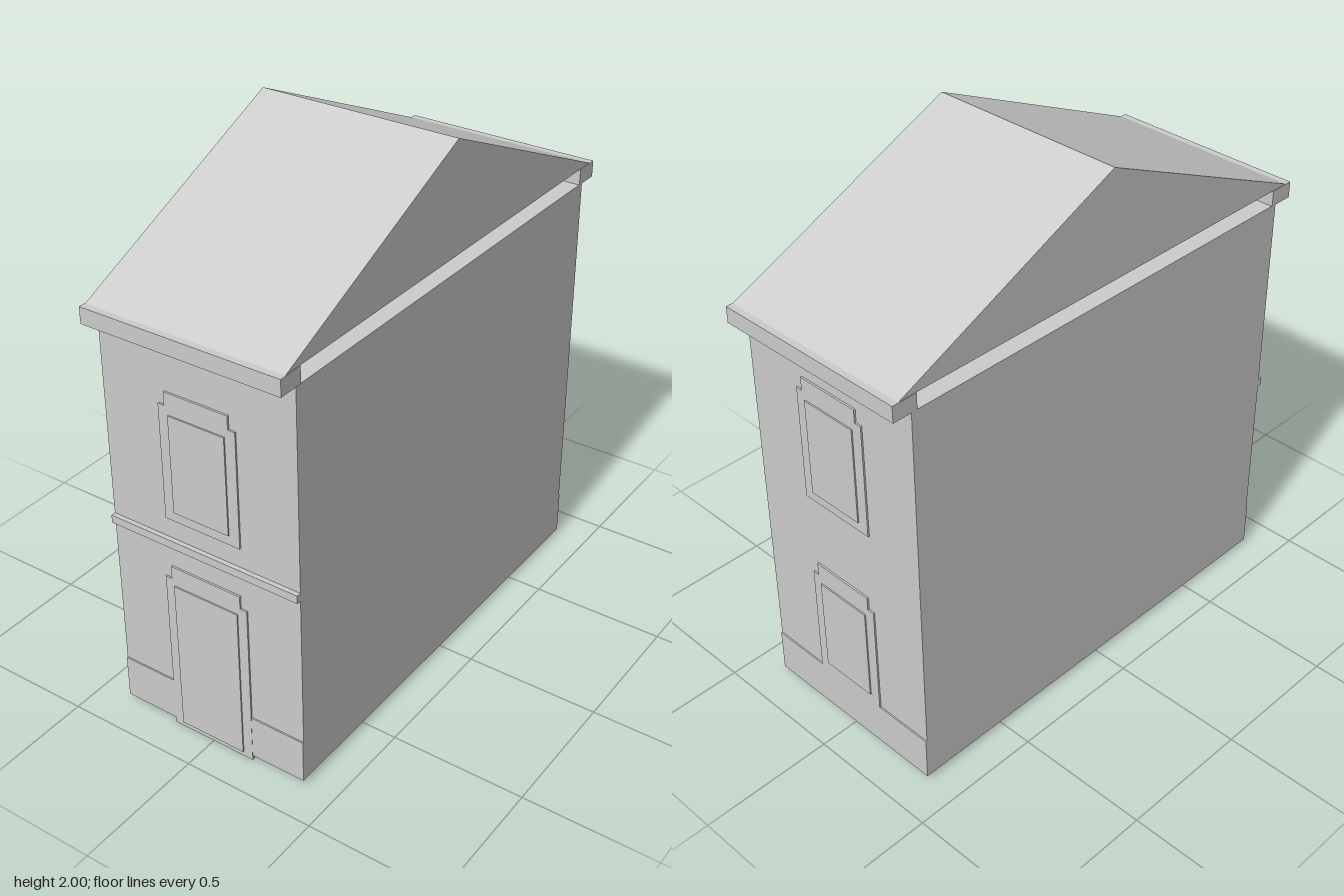
import * as THREE from 'three';

const paint = new THREE.MeshStandardMaterial({ color: 0xcccccc });
paint.name = 'pale grey';

const HALF_W = 0.378, WALL_Z = 0.857, EAVE_Y = 1.535, ROOF_Y = 1.595;

// Box given by its limits on each axis
function block(parent, name, [x0, x1], [y0, y1], [z0, z1]) {
  const mesh = new THREE.Mesh(new THREE.BoxGeometry(x1 - x0, y1 - y0, z1 - z0), paint);
  mesh.name = name;
  mesh.position.set((x0 + x1) / 2, (y0 + y1) / 2, (z0 + z1) / 2);
  parent.add(mesh);
}

// Opening with a raised surround, a narrower lintel and a raised panel
function opening(parent, name, half, panelHalf, y0, top, panelY0, panelY1) {
  const g = new THREE.Group();
  g.name = name;
  const back = WALL_Z - 0.005, step = top - 0.05, lintelHalf = half - 0.026;
  block(g, 'surround', [-half, half], [y0, step], [back, WALL_Z + 0.006]);
  block(g, 'lintel', [-lintelHalf, lintelHalf], [step, top], [back, WALL_Z + 0.007]);
  block(g, 'panel', [-panelHalf, panelHalf], [panelY0, panelY1], [back, WALL_Z + 0.011]);
  parent.add(g);
}

const sashWindow = (parent, name, y0) =>
  opening(parent, name, 0.15, 0.11, y0, y0 + 0.48, y0 + 0.037, y0 + 0.4);

export function createModel() {
  const house = new THREE.Group();
  house.name = 'terracedHouse';

  block(house, 'walls', [-HALF_W, HALF_W], [0.02, EAVE_Y], [-WALL_Z, WALL_Z]);

  // Gabled roof, ridge running along x
  const gable = new THREE.Shape();
  gable.moveTo(-0.905, ROOF_Y);
  gable.lineTo(0.905, ROOF_Y);
  gable.lineTo(0, 2);
  const roofGeometry = new THREE.ExtrudeGeometry(gable, { depth: 2 * HALF_W, bevelEnabled: false });
  roofGeometry.translate(0, 0, -HALF_W).rotateY(Math.PI / 2);
  const roof = new THREE.Mesh(roofGeometry, paint);
  roof.name = 'roof';
  house.add(roof);

  // Front and rear faces share the eaves; the rear is turned around
  const front = new THREE.Group(), rear = new THREE.Group();
  front.name = 'frontFacade';
  rear.name = 'rearFacade';
  rear.rotation.y = Math.PI;
  for (const side of [front, rear]) {
    block(side, 'eaves', [-0.38, 0.38], [EAVE_Y, ROOF_Y], [0.835, 0.93]);
    house.add(side);
  }

  // Front: door, one window, string course and a plinth broken by the door
  opening(front, 'door', 0.167, 0.13, 0, 0.68, 0.02, 0.605);
  sashWindow(front, 'upperWindow', 0.87);
  block(front, 'stringCourse', [-HALF_W, HALF_W], [0.765, 0.795], [0.85, 0.874]);
  for (const s of [-1, 1]) {
    const xs = [s * 0.167, s * HALF_W].sort((a, b) => a - b);
    block(front, 'plinth', xs, [0.02, 0.185], [0.85, WALL_Z + 0.005]);
  }

  // Rear: two windows over a full plinth
  sashWindow(rear, 'lowerWindow', 0.185);
  sashWindow(rear, 'upperWindow', 0.94);
  block(rear, 'plinth', [-HALF_W, HALF_W], [0.02, 0.185], [0.85, WALL_Z + 0.005]);

  return house;
}
